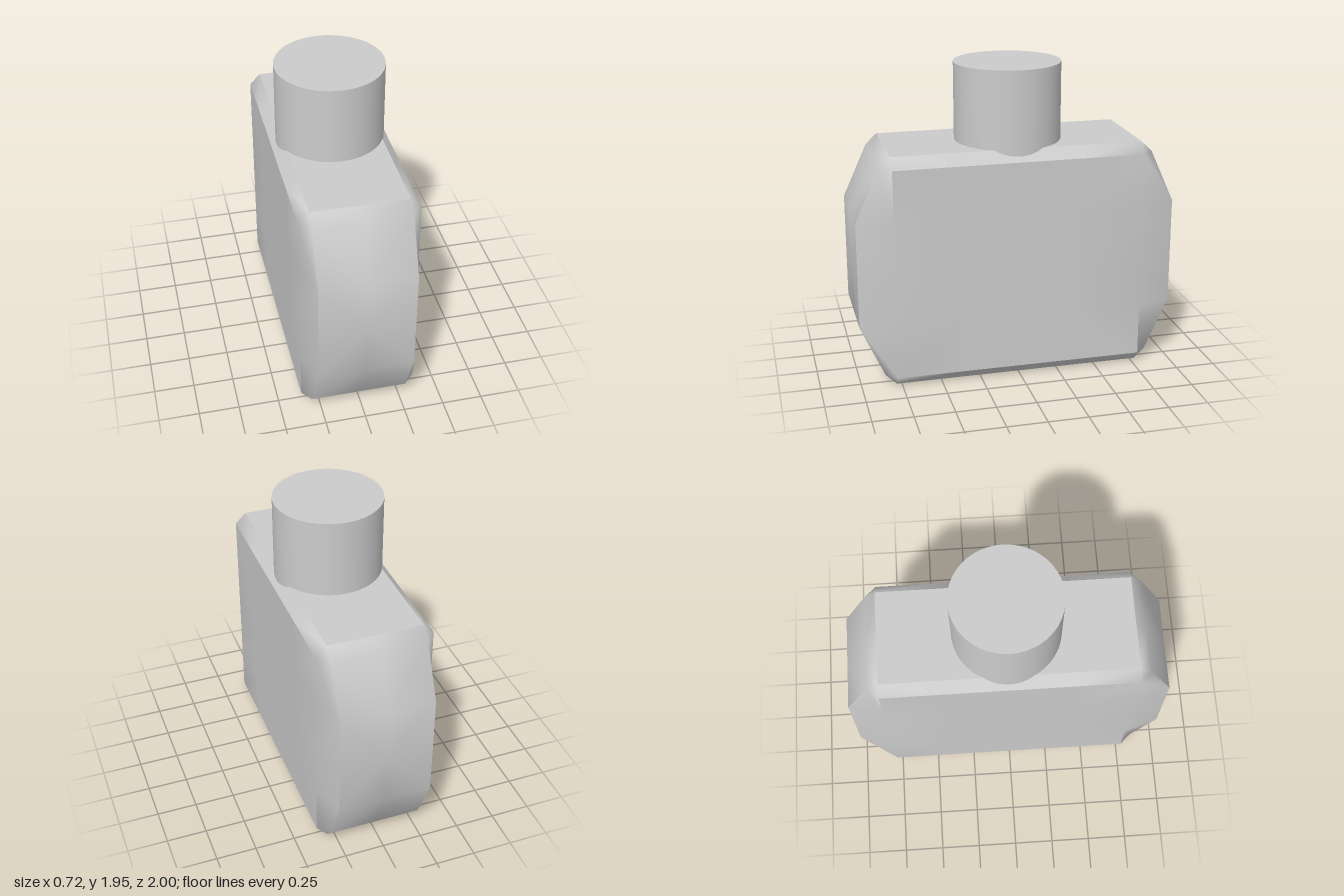
import * as THREE from 'three';

const CREASE = Math.cos(THREE.MathUtils.degToRad(40));

// Non-indexed geometry whose normals blend around each corner across gentle edges only
function smoothGeometry(triangles) {
  const corners = new Map();
  const key = p => p.toArray().map(v => v.toFixed(3)).join();
  const faces = triangles.map(t => {
    const area = t[1].clone().sub(t[0]).cross(t[2].clone().sub(t[0]));
    const face = { t, area, dir: area.clone().normalize() };
    for (const p of t) {
      if (!corners.has(key(p))) corners.set(key(p), []);
      corners.get(key(p)).push(face);
    }
    return face;
  });
  const pos = [], nor = [];
  for (const face of faces) {
    for (const p of face.t) {
      // spread from this face to neighbours below the crease angle
      const group = new Set([face]);
      for (const f of group) {
        for (const g of corners.get(key(p))) if (f.dir.dot(g.dir) > CREASE) group.add(g);
      }
      const n = new THREE.Vector3();
      for (const f of group) n.add(f.area);
      pos.push(...p.toArray());
      nor.push(...n.normalize().toArray());
    }
  }
  const geo = new THREE.BufferGeometry();
  geo.setAttribute('position', new THREE.Float32BufferAttribute(pos, 3));
  geo.setAttribute('normal', new THREE.Float32BufferAttribute(nor, 3));
  return geo;
}

// Bevelled slab, described for one octant and mirrored to all eight
function bodyGeometry() {
  const X = 0.36, XI = 0.295;              // half widths: side faces, bevel inset
  const H = 0.7325, H1 = 0.665, H2 = 0.335; // half heights: top, bevel, end face
  const ZM = 0.4, ZI = 0.78, ZB = 0.85, Z = 1;
  const triangles = [];

  for (const sx of [1, -1]) for (const sy of [1, -1]) for (const sz of [1, -1]) {
    const tri = (...pts) => {
      const t = pts.map(([x, y, z]) => new THREE.Vector3(x * sx, y * sy, z * sz));
      const n = t[1].clone().sub(t[0]).cross(t[2].clone().sub(t[0]));
      const mid = t[0].clone().add(t[1]).add(t[2]);
      if (n.dot(mid) < 0) t.reverse();
      triangles.push(t);
    };
    const quad = (a, b, c, d) => { tri(a, b, c); tri(a, c, d); };

    for (const [z0, z1] of [[0, ZM], [ZM, ZI]]) {
      // side face
      for (const [y0, y1] of [[0, H2], [H2, H1]]) {
        quad([X, y0, z0], [X, y1, z0], [X, y1, z1], [X, y0, z1]);
      }
      // long bevel, then top or bottom face
      quad([X, H1, z0], [XI, H, z0], [XI, H, z1], [X, H1, z1]);
      quad([0, H, z0], [XI, H, z0], [XI, H, z1], [0, H, z1]);
    }
    // end: flat face, slope and small bevel
    const profile = [[0, Z], [H2, Z], [H1, ZB], [H, ZI]];
    for (let i = 0; i < 3; i++) {
      const [y0, z0] = profile[i], [y1, z1] = profile[i + 1];
      quad([0, y0, z0], [XI, y0, z0], [XI, y1, z1], [0, y1, z1]);
    }
    // upright bevel between side and end
    quad([X, 0, ZI], [X, H2, ZI], [XI, H2, Z], [XI, 0, Z]);
    // twisted bevel: its diagonal alternates between corners
    const a = [X, H2, ZI], b = [X, H1, ZI], c = [XI, H1, ZB], d = [XI, H2, Z];
    if (sx * sy * sz > 0) quad(a, b, c, d);
    else quad(b, c, d, a);
    // corner cut
    tri([X, H1, ZI], [XI, H, ZI], [XI, H1, ZB]);
  }
  return smoothGeometry(triangles).translate(0, H, 0);
}

export function createModel() {
  const model = new THREE.Group();
  model.name = 'bottle';
  const material = new THREE.MeshStandardMaterial({ color: 0xcccccc });

  const body = new THREE.Mesh(bodyGeometry(), material);
  body.name = 'body';

  // round cap, sunk slightly into the body
  const cap = new THREE.Mesh(new THREE.CylinderGeometry(0.332, 0.332, 0.55, 64), material);
  cap.name = 'cap';
  cap.position.y = 1.95 - 0.275;

  model.add(body, cap);
  return model;
}
